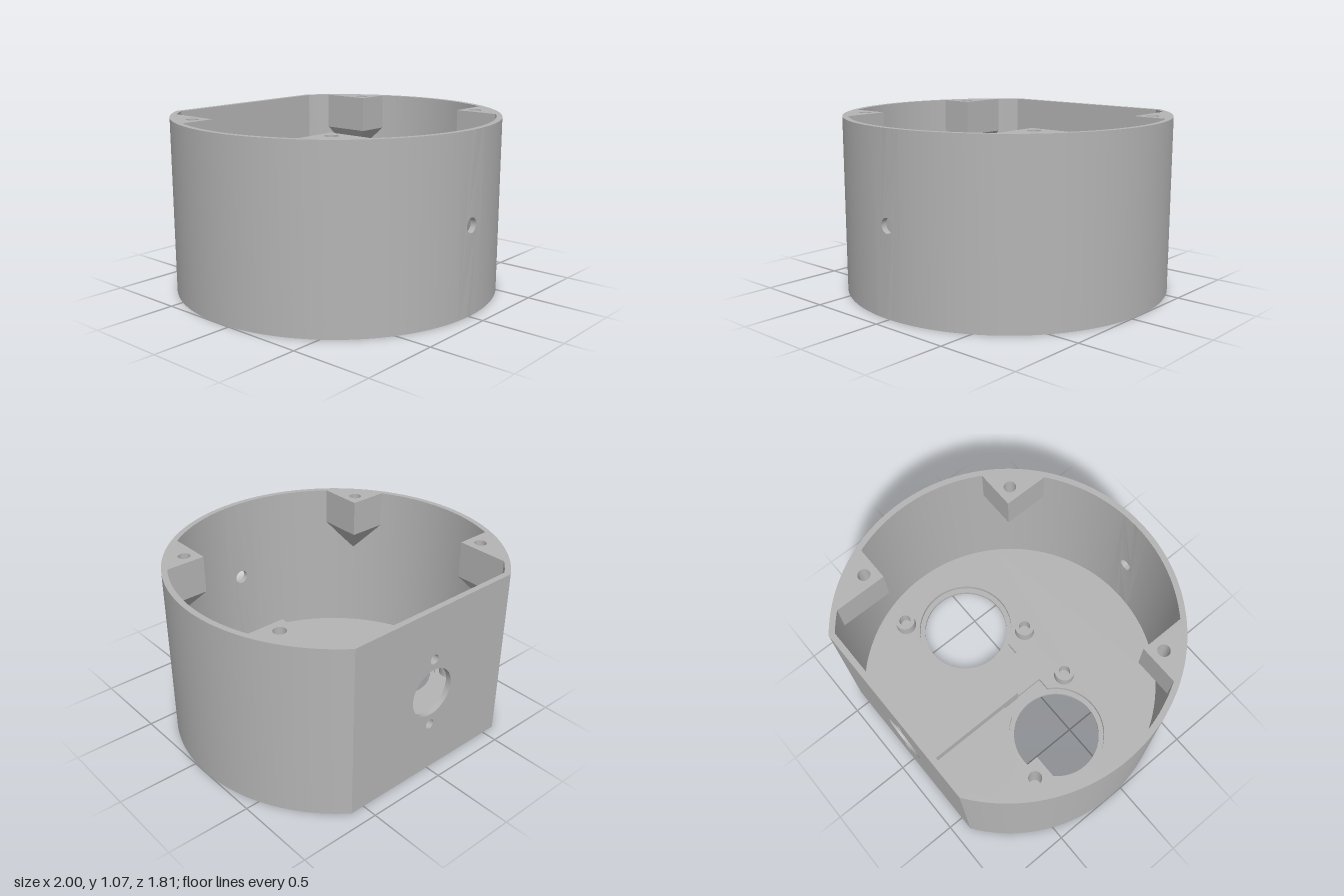
import * as THREE from 'three';
import { toCreasedNormals } from 'three/addons/utils/BufferGeometryUtils.js';
import { ConvexGeometry } from 'three/addons/geometries/ConvexGeometry.js';

const H = 1.07;          // overall height
const CZ = -0.095;       // centre of the round wall
const RO = 1, RI = 0.965;
const BACK = -0.905, BACK_IN = -0.87;
const MID = 0.535;       // height of the wall holes
const EYE_X = 0.475, FLOOR = 0.07;

export function createModel() {
  const group = new THREE.Group();
  const grey = new THREE.MeshStandardMaterial({ color: 0xb4b4b4 });
  grey.name = 'grey plastic';

  const add = (name, geo) => {
    const mesh = new THREE.Mesh(geo, grey);
    mesh.name = name;
    group.add(mesh);
    return mesh;
  };
  const circle = (x, y, r) => new THREE.Path().absarc(x, y, r, 0, Math.PI * 2);
  const extrude = (shape, depth, curveSegments = 48) =>
    new THREE.ExtrudeGeometry(shape, { depth, bevelEnabled: false, curveSegments });
  // Plan shapes are drawn as (x, z) and raised from y0 to y1
  const slab = (name, shape, y0, y1, segments) => {
    const geo = extrude(shape, y1 - y0, segments);
    geo.rotateX(Math.PI / 2).translate(0, y1, 0);
    return add(name, toCreasedNormals(geo, 0.5));
  };

  // Curved side walls, leaving a narrow gap at the front for the drilled panel
  const flatOut = Math.asin((CZ - BACK) / RO);
  const flatIn = Math.asin((CZ - BACK_IN) / RI);
  const gap = 0.1;
  const gapOut = Math.acos(gap / RO), gapIn = Math.acos(gap / RI);
  const leftSide = new THREE.Shape();
  leftSide.absarc(0, CZ, RO, -flatOut, gapOut, false);
  leftSide.absarc(0, CZ, RI, gapIn, -flatIn, true);
  const rightSide = new THREE.Shape();
  rightSide.absarc(0, CZ, RO, Math.PI - gapOut, Math.PI + flatOut, false);
  rightSide.absarc(0, CZ, RI, Math.PI + flatIn, Math.PI - gapIn, true);
  slab('leftWall', leftSide, 0, H, 64);
  slab('rightWall', rightSide, 0, H, 64);

  // Front wall panel with a small hole, bent to the wall radius
  const panel = new THREE.Shape();
  for (let i = 0; i <= 8; i++) panel.lineTo(-gap + (gap * i) / 4, 0);
  for (let i = 8; i >= 0; i--) panel.lineTo(-gap + (gap * i) / 4, H);
  panel.curves.shift();
  panel.holes.push(circle(0, MID, 0.045));
  const front = extrude(panel, 1, 16);
  const p = front.attributes.position;
  for (let i = 0; i < p.count; i++) {
    const r = p.getZ(i) > 0.5 ? RO : RI;
    p.setZ(i, CZ + Math.sqrt(r * r - p.getX(i) ** 2));
  }
  add('frontPanel', toCreasedNormals(front, 0.5));

  // Flat back wall with a large opening and two screw holes
  const hw = RO * Math.cos(flatOut);
  const back = new THREE.Shape();
  back.moveTo(-hw, 0).lineTo(hw, 0).lineTo(hw, H).lineTo(-hw, H);
  back.holes.push(circle(0, MID, 0.15));
  for (const s of [-1, 1]) back.holes.push(circle(0, MID + s * 0.218, 0.03));
  const backGeo = extrude(back, BACK_IN - BACK, 32).translate(0, 0, BACK);
  add('backWall', toCreasedNormals(backGeo, 0.5));

  // Floor in three layers: underside recesses, through holes, upper pockets
  const floorShape = () => {
    const s = new THREE.Shape();
    s.absarc(0, CZ, RI, -flatIn, Math.PI + flatIn, false);
    return s;
  };
  const lower = floorShape(), middle = floorShape(), upper = floorShape();
  for (const s of [-1, 1]) {
    lower.holes.push(circle(s * EYE_X, CZ, 0.395));
    middle.holes.push(circle(s * EYE_X, CZ, 0.277));
    // Round pocket with a square notch towards the middle
    const r = 0.31, n = 0.1525, a = Math.PI - Math.asin(n / r);
    const pts = [];
    for (let i = 0; i <= 48; i++) {
      const t = -a + (2 * a * i) / 48;
      pts.push(new THREE.Vector2(s * (EYE_X + r * Math.cos(t)), CZ + r * Math.sin(t)));
    }
    pts.push(new THREE.Vector2(s * 0.12, CZ + n), new THREE.Vector2(s * 0.12, CZ - n));
    upper.holes.push(new THREE.Path(pts));
  }
  lower.holes.push(new THREE.Path([[-0.73, -0.71], [0.73, -0.71], [0.73, -0.56], [-0.73, -0.56]]
    .map(([x, z]) => new THREE.Vector2(x, z))));
  slab('floorUnderside', lower, 0, 0.02);
  slab('floorMiddle', middle, 0.02, 0.04);
  slab('floorTop', upper, 0.04, FLOOR);

  // Raised bar on the floor, running in from the back wall
  const bar = add('floorBar', new THREE.BoxGeometry(0.25, 0.12, 0.74));
  bar.position.set(0, 0.1, -0.5);

  // Hollow screw bosses on the floor
  const bossProfile = [[0.037, 0.04], [0.065, 0.04], [0.065, 0.157], [0.037, 0.157], [0.037, 0.04]]
    .map(([x, y]) => new THREE.Vector2(x, y));
  for (const s of [-1, 1]) {
    for (const [x, z] of [[0.75, -0.39], [0.205, 0.2]]) {
      const boss = add('screwBoss', toCreasedNormals(new THREE.LatheGeometry(bossProfile, 32), 0.5));
      boss.position.set(s * x, 0, z);
    }
  }

  // Corner lid posts: drilled block above a support tapering into the wall
  const posts = [
    { x: 0.68, z: -0.455, hole: [0.76, -0.535], dir: -1 },
    { x: 0.59, z: 0.39, hole: [0.67, 0.47], dir: 1 },
  ];
  const R = 0.97, yBlock = H - 0.23, yTip = 0.65;
  for (const { x, z, hole, dir } of posts) {
    const a0 = Math.asin((z - CZ) / R);
    const a1 = dir * Math.acos(x / R);
    for (const s of [-1, 1]) {
      const pts = [new THREE.Vector2(s * x, z)];
      for (let i = 0; i <= 8; i++) {
        const t = a0 + ((a1 - a0) * i) / 8;
        pts.push(new THREE.Vector2(s * R * Math.cos(t), CZ + R * Math.sin(t)));
      }
      const block = new THREE.Shape(pts);
      block.holes.push(circle(s * hole[0], hole[1], 0.037));
      slab('lidPost', block, yBlock, H, 24);

      const mid = (a0 + a1) / 2;
      const solid = pts.map((q) => new THREE.Vector3(q.x, yBlock, q.y));
      solid.push(new THREE.Vector3(s * R * Math.cos(mid), yTip, CZ + R * Math.sin(mid)));
      add('lidPostSupport', new ConvexGeometry(solid));
    }
  }
  return group;
}
